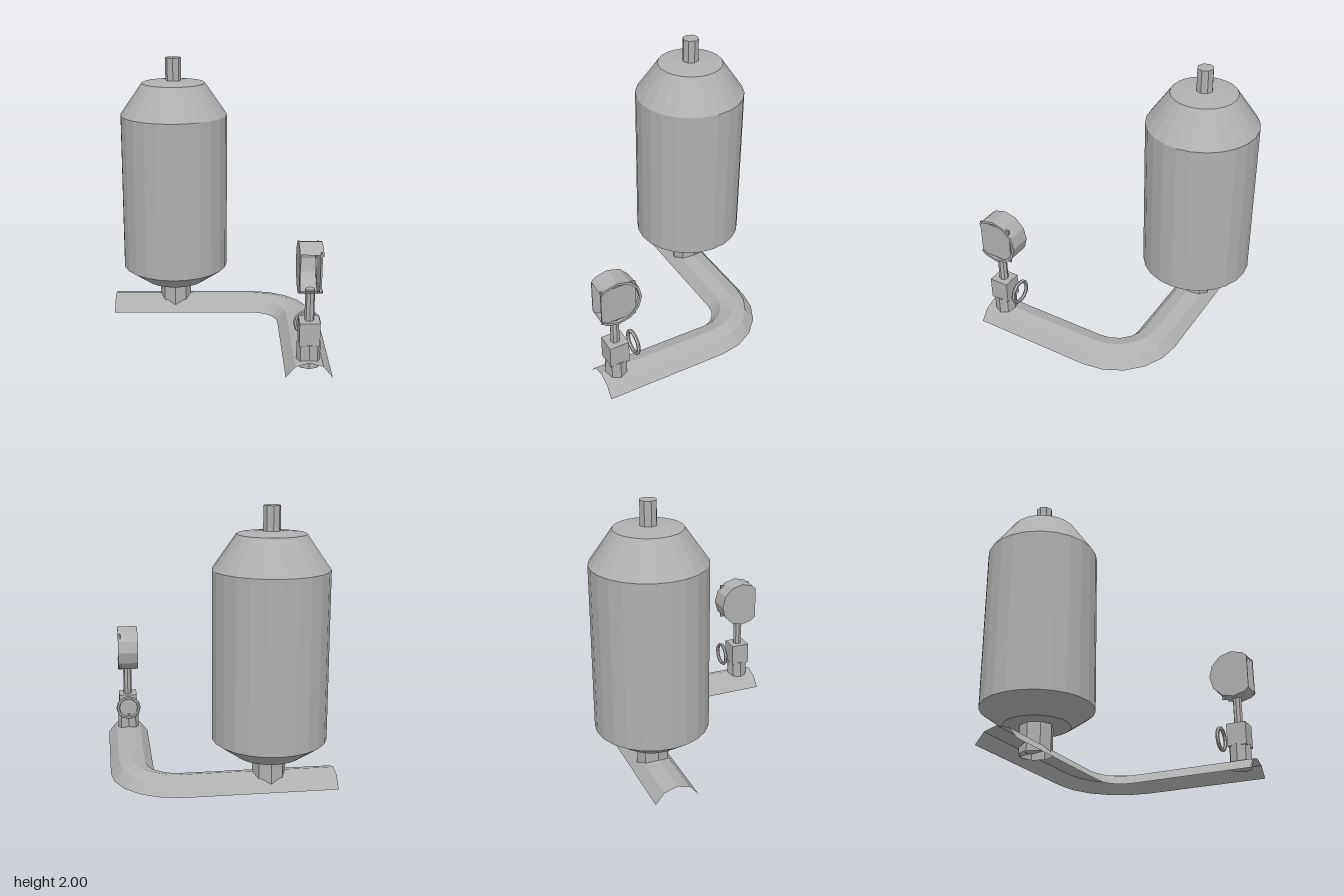
import * as THREE from 'three';

const grey = new THREE.MeshStandardMaterial({ color: 0xb0b0b0, flatShading: true, side: THREE.DoubleSide });
grey.name = 'grey metal';

function part(name, geometry, x = 0, y = 0, z = 0) {
  const mesh = new THREE.Mesh(geometry, grey);
  mesh.name = name;
  mesh.position.set(x, y, z);
  return mesh;
}

// Open surface through equal-length rows of [x, y, z] points
function loft(rows) {
  const n = rows[0].length, index = [];
  for (let i = 0; i < rows.length - 1; i++) {
    for (let j = 0; j < n - 1; j++) {
      const a = i * n + j, b = a + n;
      index.push(a, a + 1, b, a + 1, b + 1, b);
    }
  }
  const g = new THREE.BufferGeometry();
  g.setAttribute('position', new THREE.Float32BufferAttribute(rows.flat(2), 3));
  g.setIndex(index);
  g.computeVertexNormals();
  return g;
}

// Vertical pipe between two heights
function pipe(name, r, y0, y1, x, z, open = false) {
  return part(name, new THREE.CylinderGeometry(r, r, y1 - y0, 8, 1, open), x, (y0 + y1) / 2, z);
}

// Plate drawn as (z, y) points, with its outer face at x
function sidePlate(name, shape, x, depth) {
  const g = new THREE.ExtrudeGeometry(shape, { depth, bevelEnabled: false });
  g.rotateY(-Math.PI / 2);
  return part(name, g, x, 0, 0);
}

function createTank() {
  const tank = new THREE.Group();
  tank.name = 'tank';
  const x = -0.32, z = -0.425;
  const profile = [[0, 0.245], [0.24, 0.245], [0.407, 0.365], [0.407, 1.57], [0.24, 1.81], [0, 1.835]]
    .map(([r, y]) => new THREE.Vector2(r, y));
  tank.add(part('tankBody', new THREE.LatheGeometry(profile, 24), x, 0, z));
  tank.add(pipe('topPipe', 0.06, 1.82, 2, x, z));
  tank.add(pipe('outletPipe', 0.12, 0.04, 0.25, x, z, true));
  return tank;
}

// Open-bottomed half pipe: straight, quarter bend, straight
function createGutter() {
  const section = [[-0.16, 0], [-0.095, 0.08], [0, 0.108], [0.095, 0.08], [0.16, 0]];
  const stations = [[-0.8, -0.425, 0]];
  for (let i = 0; i <= 5; i++) {
    const a = (i / 5) * Math.PI / 2;
    stations.push([0.3 + 0.34 * Math.sin(a), -0.085 - 0.34 * Math.cos(a), a]);
  }
  stations.push([0.64, 0.83, Math.PI / 2]);
  const rows = stations.map(([x, z, a]) =>
    section.map(([s, y]) => [x + s * Math.sin(a), y, z - s * Math.cos(a)]));
  return part('halfPipe', loft(rows));
}

function createGauge() {
  const gauge = new THREE.Group();
  gauge.name = 'pressureGauge';
  const x = 0.64, z = 0.71, cy = 0.753;

  // Fitting, valve block, stem and ring handle
  gauge.add(pipe('baseFitting', 0.082, 0.045, 0.215, x, z));
  gauge.add(part('valveBlock', new THREE.BoxGeometry(0.14, 0.17, 0.145), x, 0.29, z));
  gauge.add(pipe('stem', 0.033, 0.37, 0.6, x, z));
  gauge.add(part('ringHandle', new THREE.TorusGeometry(0.083, 0.014, 6, 12), x, 0.29, 0.57));

  // Dial housing: twelve-sided drum cut flat and left open towards the front
  const cutOutline = (r) => {
    const zy = [];
    for (let i = 2; i <= 10; i++) {
      const a = i * Math.PI / 6;
      zy.push([z + r * Math.cos(a), cy + r * Math.sin(a)]);
    }
    const h = r * 0.71;
    return [[0.83, cy + h], ...zy, [0.83, cy - h]];
  };
  const toShape = (pts) => new THREE.Shape(pts.map(([a, b]) => new THREE.Vector2(a, b)));
  const outer = cutOutline(0.178), inner = cutOutline(0.16);
  gauge.add(part('dialHousing', loft([0.555, 0.69].map((px) => outer.map(([pz, py]) => [px, py, pz])))));
  gauge.add(sidePlate('dialBack', toShape(outer), 0.563, 0.008));
  const rim = toShape([...outer, ...inner.slice().reverse()]);
  gauge.add(sidePlate('dialRim', rim, 0.712, 0.024));
  gauge.add(part('dialFace', new THREE.BoxGeometry(0.012, 0.28, 0.255), 0.697, cy, 0.7025));
  return gauge;
}

export function createModel() {
  const model = new THREE.Group();
  model.name = 'tankWithPipeAndGauge';
  model.add(createTank(), createGutter(), createGauge());
  return model;
}
